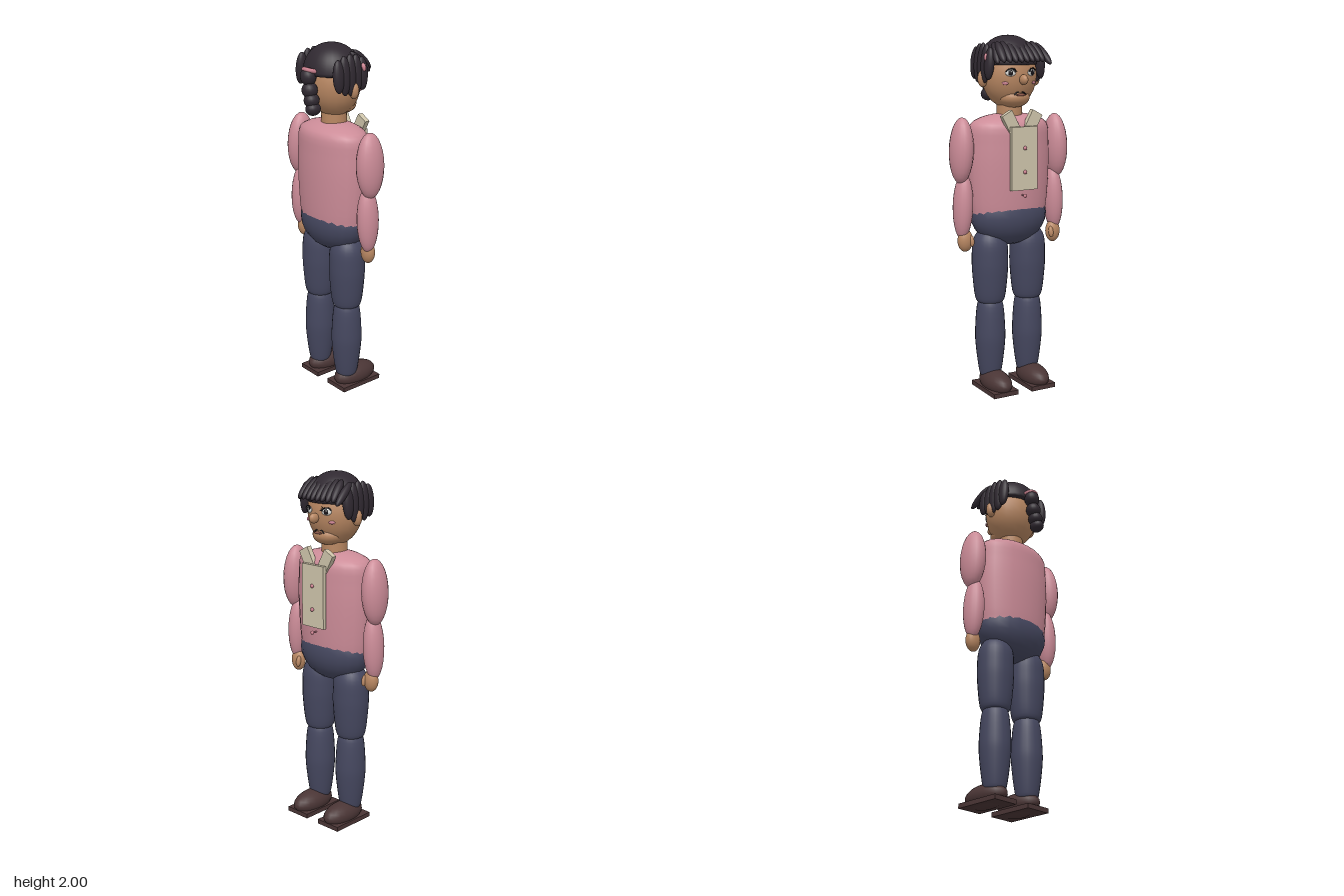
import * as THREE from 'three';

export function createModel() {
  const model = new THREE.Group();
  const mat = (name, color) => {
    const m = new THREE.MeshStandardMaterial({ color });
    m.name = name;
    return m;
  };
  const skin = mat('skin', 0xb88762), hair = mat('hair', 0x302931), shirt = mat('shirt', 0xcc8c98);
  const pants = mat('trousers', 0x45475f), leather = mat('shoe leather', 0x4a3535), cream = mat('cream', 0xcfc5ab);
  const pink = mat('pink', 0xc97f8d), dark = mat('dark lines', 0x18151a), white = mat('eye white', 0xe4e4e0);
  const lip = mat('lip', 0x8f594b);

  const add = (name, geo, material, pos = [0, 0, 0], rot = [0, 0, 0], parent = model) => {
    const mesh = new THREE.Mesh(geo, material);
    mesh.name = name;
    mesh.position.set(...pos);
    mesh.rotation.set(...rot);
    parent.add(mesh);
    return mesh;
  };
  const ball = (name, material, pos, r, rot, parent) => {
    const geo = new THREE.SphereGeometry(1, 20, 14).scale(...r);
    return add(name, geo, material, pos, rot, parent);
  };
  // Ellipsoid lock stretched from point a to point b
  const lock = (name, a, b, rx, rz, parent) => {
    const p = new THREE.Vector3(...a), q = new THREE.Vector3(...b);
    const mesh = ball(name, hair, p.clone().add(q).multiplyScalar(0.5).toArray(), [rx, p.distanceTo(q) / 2, rz], undefined, parent);
    mesh.quaternion.setFromUnitVectors(new THREE.Vector3(0, 1, 0), q.sub(p).normalize());
    return mesh;
  };
  // Smooth turned body with an oval section; profile is [radius, y]
  const turned = (name, material, profile, depth, pos) => {
    const curve = new THREE.SplineCurve(profile.map(([r, y]) => new THREE.Vector2(r, y)));
    const pts = curve.getPoints(28).map(p => new THREE.Vector2(Math.max(p.x, 0), p.y));
    return add(name, new THREE.LatheGeometry(pts, 24).scale(1, 1, depth), material, pos);
  };

  // Trunk and neck
  turned('shirtBody', shirt, [[0, 1.0], [0.2, 1.005], [0.224, 1.03], [0.238, 1.15], [0.245, 1.3], [0.242, 1.42],
    [0.232, 1.515], [0.17, 1.555], [0.08, 1.575], [0, 1.578]], 0.63, [0, 0, -0.003]);
  ball('hips', pants, [0, 1.01, -0.005], [0.228, 0.17, 0.15]);
  add('neck', new THREE.CylinderGeometry(0.07, 0.072, 0.12, 20), skin, [0, 1.585, -0.01]);

  // Limbs, mirrored
  for (const s of [-1, 1]) {
    turned('thigh', pants, [[0, 0.515], [0.06, 0.52], [0.085, 0.55], [0.1, 0.68], [0.103, 0.77], [0.096, 0.87], [0.06, 0.93], [0, 0.95]],
      0.97, [s * 0.121, 0, -0.005]);
    turned('shin', pants, [[0, 0.08], [0.05, 0.085], [0.066, 0.13], [0.083, 0.27], [0.085, 0.36], [0.074, 0.5], [0.05, 0.54], [0, 0.55]],
      1.02, [s * 0.121, 0, -0.005]);
    ball('shoeUpper', leather, [s * 0.121, 0.066, -0.068], [0.074, 0.066, 0.142]);
    add('sole', new THREE.BoxGeometry(0.154, 0.026, 0.272), leather, [s * 0.121, 0.027, -0.06]);
    ball('upperSleeve', shirt, [s * 0.298, 1.385, -0.012], [0.063, 0.18, 0.084], [0, 0, s * 0.04]);
    ball('lowerSleeve', shirt, [s * 0.289, 1.08, -0.008], [0.054, 0.185, 0.064], [0, 0, s * 0.04]);
    ball('hand', skin, [s * 0.282, 0.89, -0.018], [0.044, 0.063, 0.036]);
    ball('thumb', skin, [s * 0.255, 0.89, -0.045], [0.014, 0.032, 0.014], [0.2, 0, 0]);
    add('collarFlap', new THREE.BoxGeometry(0.068, 0.12, 0.03), cream, [s * 0.066, 1.535, -0.142], [0, 0, -s * 0.5]);
  }

  // Shirt placket and buttons
  add('placket', new THREE.BoxGeometry(0.16, 0.345, 0.022), cream, [0, 1.343, -0.171]);
  for (const y of [1.4, 1.27, 1.14]) ball('button', pink, [0, y, -0.186], [0.011, 0.011, 0.009]);
  add('buttonThread', new THREE.CylinderGeometry(0.004, 0.004, 0.04, 8), pink, [0, 1.14, -0.168], [Math.PI / 2, 0, 0]);

  // Head
  const head = new THREE.Group();
  head.name = 'head';
  model.add(head);
  ball('skull', skin, [0, 1.785, -0.008], [0.155, 0.182, 0.142], undefined, head);
  ball('jaw', skin, [0, 1.665, -0.058], [0.09, 0.055, 0.082], undefined, head);
  ball('nose', skin, [0, 1.765, -0.168], [0.021, 0.028, 0.032], undefined, head);
  add('mouth', new THREE.TorusGeometry(0.045, 0.004, 6, 16, Math.PI * 0.6), dark, [0, 1.655, -0.133], [0.12, 0, Math.PI * 0.2], head);
  ball('lowerLip', lip, [0, 1.683, -0.138], [0.03, 0.007, 0.006], undefined, head);
  for (const s of [-1, 1]) {
    ball('ear', skin, [s * 0.165, 1.768, -0.01], [0.028, 0.046, 0.025], undefined, head);
    // Eye parts share a frame that looks along the face surface
    const eye = new THREE.Group();
    eye.name = 'eye';
    eye.position.set(s * 0.064, 1.802, -0.138);
    eye.rotation.y = Math.PI - s * 0.38;
    head.add(eye);
    ball('eyeWhite', white, [0, 0, 0], [0.029, 0.019, 0.01], undefined, eye);
    ball('iris', dark, [0, 0, 0.008], [0.013, 0.015, 0.005], undefined, eye);
    ball('glint', white, [0.004, 0.006, 0.013], [0.004, 0.004, 0.002], undefined, eye);
    add('lashLine', new THREE.TorusGeometry(0.028, 0.004, 6, 14, Math.PI * 0.8).scale(1, 0.75, 1), dark,
      [0, 0, 0.006], [0, 0, Math.PI * 0.1], eye);
    for (const k of [0, 1, 2]) {
      add('lash', new THREE.ConeGeometry(0.003, 0.02, 5), dark, [s * (0.018 + k * 0.006), 0.021 - k * 0.007, 0.01],
        [0.4, 0, -s * (0.5 + k * 0.35)], eye);
    }
    ball('blush', pink, [s * 0.089, 1.746, -0.123], [0.018, 0.009, 0.006], [0, -s * 0.6, 0], head);
  }

  // Hair: cap with a flat underside
  const capProfile = [new THREE.Vector2(0, 1.842)];
  for (let i = 0; i <= 14; i++) {
    const a = (i / 14) * Math.PI / 2;
    capProfile.push(new THREE.Vector2(0.16 * Math.cos(a) ** 0.9, 1.842 + 0.158 * Math.sin(a)));
  }
  capProfile.at(-1).x = 0;
  add('hairCap', new THREE.LatheGeometry(capProfile, 28).scale(1, 1, 0.95), hair, [0, 0, 0.005], [0, 0, 0], head);

  // Fringe
  for (let i = 0; i < 8; i++) {
    const x = -0.13 + i * 0.035;
    const z = -0.178 + 0.9 * x * x;
    lock('fringeLock', [x * 0.85 + 0.008, 1.965, -0.06], [x, 1.858, z], 0.023, 0.022, head);
  }
  lock('fringeSideLock', [-0.145, 1.955, -0.04], [-0.168, 1.845, -0.172], 0.022, 0.022, head);
  lock('fringeSideLock', [0.11, 1.96, -0.03], [0.14, 1.85, -0.14], 0.022, 0.022, head);

  // Side locks filling a round outline over each ear
  for (const s of [-1, 1]) {
    for (let i = 0; i < 5; i++) {
      const z = 0.088 - i * 0.04;
      const half = 0.105 * Math.sqrt(1 - ((z - 0.008) / 0.13) ** 2);
      lock('sideLock', [s * 0.15, 1.855 + half, z], [s * 0.164, 1.845 - half, z], 0.025, 0.034, head);
    }
  }
  ball('hairClip', pink, [0.17, 1.885, -0.066], [0.018, 0.024, 0.011], [0, 0.4, 0.3], head);

  // Braid and its tie
  add('hairTie', new THREE.TorusGeometry(0.036, 0.012, 8, 20), pink, [0, 1.868, 0.15], [Math.PI / 2 - 0.3, 0, 0], head);
  [[0, 1.838, 0.165], [0.012, 1.768, 0.165], [0.028, 1.716, 0.165], [0.04, 1.672, 0.165]].forEach((p, i) =>
    ball('braidSegment', hair, p, [0.044 - i * 0.002, 0.048 - i * 0.004, 0.043], [0, 0, 0.25], head));

  return model;
}
